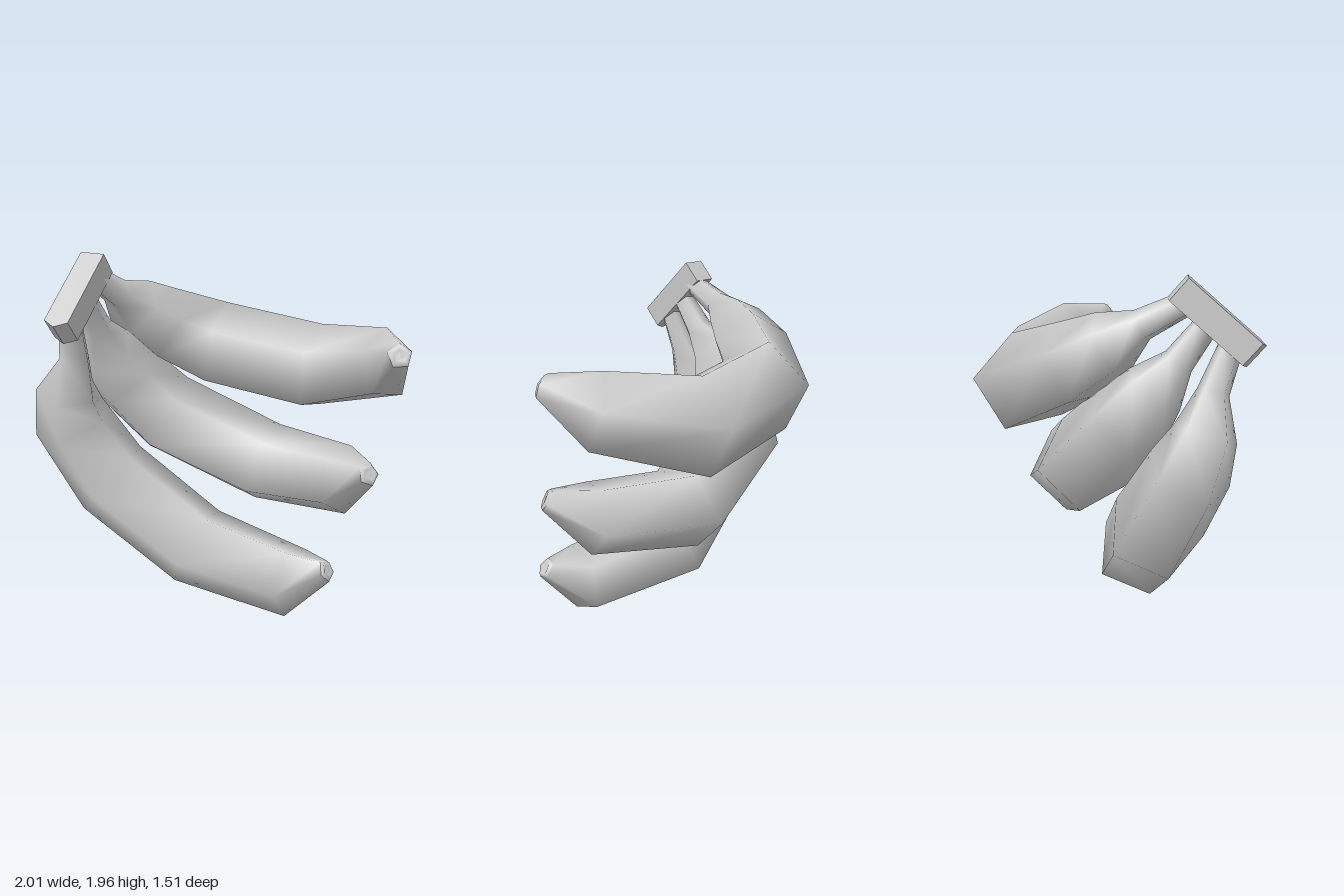
import * as THREE from 'three';

const SIDES = 5;
// How far each ring leans towards the segment before it (1) or after it (0)
const LEAN = [0.5, 0.5, 0.45, 0.3, 0.2, 0.65, 0.9, 0.5];
const material = new THREE.MeshStandardMaterial({ color: 0xcccccc });
const V = (a) => new THREE.Vector3(a[0], a[1], a[2]);

// Skin through five-sided rings given as { c: centre, u: inward axis, n: side axis, r: radius };
// one ridge runs along the inside of the bend, one flat along the outside
function loft(rings, name) {
  const pos = [], index = [];
  rings.forEach(({ c, u, n, r }, k) => {
    for (let i = 0; i < SIDES; i++) {
      const a = (i / SIDES) * Math.PI * 2;
      const p = c.clone().addScaledVector(u, r * Math.cos(a)).addScaledVector(n, r * Math.sin(a));
      pos.push(p.x, p.y, p.z);
      if (k === 0) continue;
      const j = (i + 1) % SIDES, A = (k - 1) * SIDES, B = k * SIDES;
      index.push(A + i, A + j, B + i, A + j, B + j, B + i);
    }
  });
  const g = new THREE.BufferGeometry();
  g.setAttribute('position', new THREE.Float32BufferAttribute(pos, 3));
  g.setIndex(index);
  g.computeVertexNormals();
  const mesh = new THREE.Mesh(g, material);
  mesh.name = name;
  return mesh;
}

// One curved fruit from a list of [x, y, z, radius], stem end first
function banana(path, name) {
  const group = new THREE.Group();
  group.name = name;
  const pts = path.map(V), last = pts.length - 1;
  const n = pts[5].clone().sub(pts[0]).cross(pts[last].clone().sub(pts[5])).normalize();
  const dir = (i) => pts[i + 1].clone().sub(pts[i]).normalize();
  const rings = pts.map((c, i) => {
    const before = dir(Math.max(i - 1, 0)), after = dir(Math.min(i, last - 1));
    const t = before.multiplyScalar(LEAN[i]).addScaledVector(after, 1 - LEAN[i]).normalize();
    const u = n.clone().cross(t).normalize();
    return { c, u, n: t.cross(u).normalize(), r: path[i][3] };
  });
  group.add(loft(rings, name + 'Skin'));

  // Blunt, slightly dimpled blossom end
  const end = rings[last], d = dir(last - 1);
  const step = (out, f) => ({ ...end, c: end.c.clone().addScaledVector(d, out), r: end.r * f });
  group.add(loft([end, step(0.015, 0.75), step(0.008, 0.5), step(0.012, 0)], name + 'Tip'));
  return group;
}

// Cut stem block joining the fruit, with a shallow point at its front end
function stemBlock() {
  const w = 0.07, h = 0.245, depth = 0.14;
  const s = new THREE.Shape();
  s.moveTo(-w, -h);
  s.lineTo(w, -h);
  s.lineTo(w, h - 0.02);
  s.lineTo(0, h + 0.015);
  s.lineTo(-w, h - 0.02);
  s.closePath();
  const g = new THREE.ExtrudeGeometry(s, { depth, bevelEnabled: false });
  g.translate(0, 0, -depth / 2);
  g.rotateZ(0.06);
  g.rotateX(2.28);
  g.translate(-0.648, 1.74, 0.507);
  const mesh = new THREE.Mesh(g, material);
  mesh.name = 'stemBlock';
  return mesh;
}

export function createModel() {
  const group = new THREE.Group();
  group.name = 'bananaBunch';
  group.add(stemBlock());
  group.add(banana([
    [-0.66, 1.62, 0.58, 0.065], [-0.69, 1.4, 0.5, 0.085], [-0.775, 1.21, 0.46, 0.17],
    [-0.8, 1.01, 0.38, 0.225], [-0.645, 0.635, 0.23, 0.26], [-0.145, 0.26, 0.17, 0.255],
    [0.475, 0.195, 0.29, 0.205], [0.685, 0.315, 0.34, 0.06],
  ], 'frontBanana'));
  group.add(banana([
    [-0.64, 1.72, 0.46, 0.065], [-0.64, 1.54, 0.33, 0.085], [-0.67, 1.4, 0.21, 0.17],
    [-0.63, 1.23, 0.08, 0.225], [-0.45, 0.94, -0.13, 0.26], [0.14, 0.67, -0.23, 0.255],
    [0.665, 0.7, -0.03, 0.205], [0.845, 0.81, 0.12, 0.065],
  ], 'middleBanana'));
  group.add(banana([
    [-0.63, 1.82, 0.36, 0.065], [-0.61, 1.71, 0.15, 0.085], [-0.58, 1.61, 0, 0.175],
    [-0.5, 1.49, -0.18, 0.225], [-0.25, 1.32, -0.46, 0.27], [0.38, 1.215, -0.49, 0.27],
    [0.85, 1.335, -0.24, 0.205], [0.955, 1.44, -0.01, 0.07],
  ], 'backBanana'));
  return group;
}
